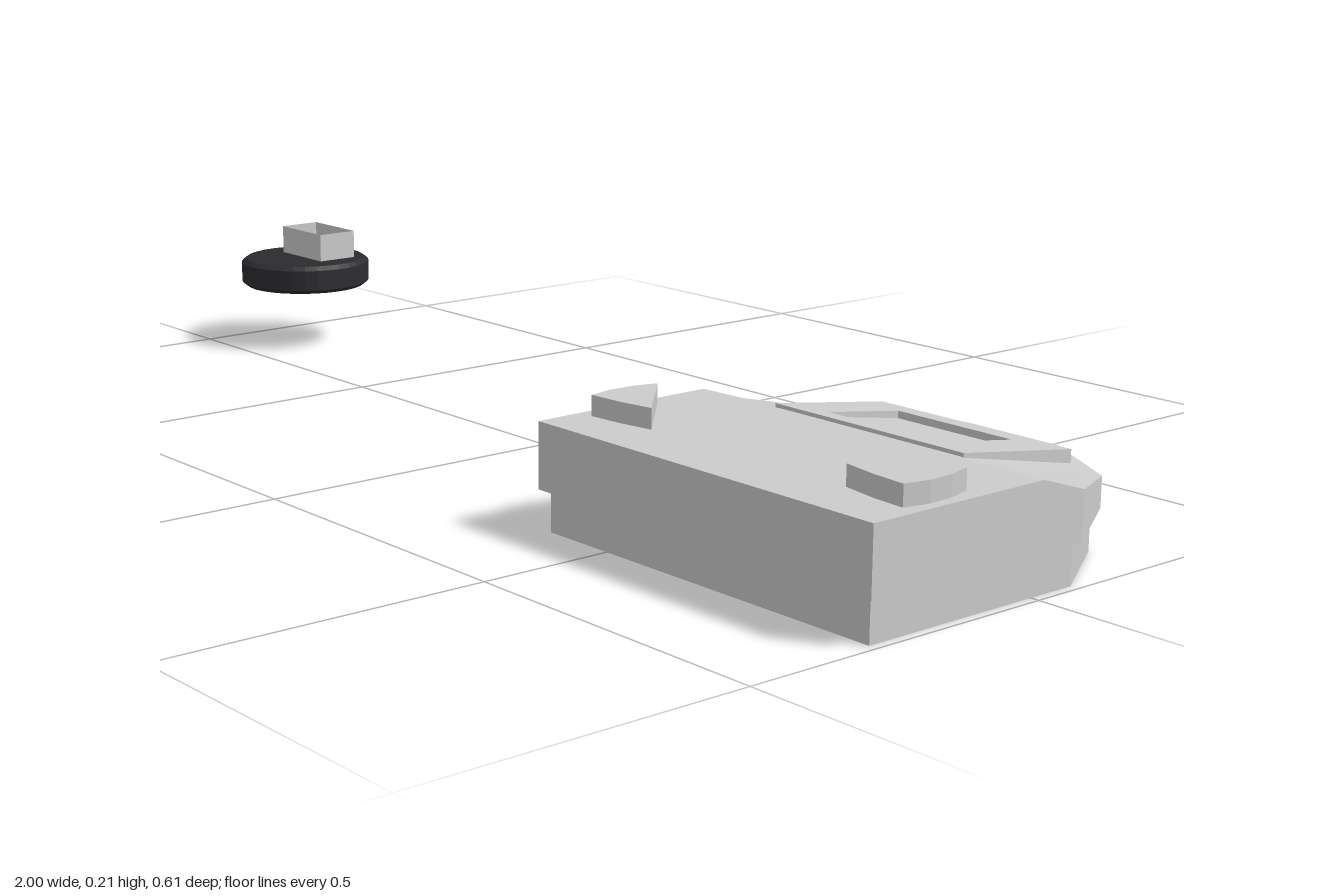
import * as THREE from 'three';

const grey = new THREE.MeshStandardMaterial({ color: 0xcccccc, flatShading: true });
const greyThin = new THREE.MeshStandardMaterial({ color: 0xcccccc, flatShading: true, side: THREE.DoubleSide });
const dark = new THREE.MeshStandardMaterial({ color: 0x2c2b2f, flatShading: true });

// Outline of the base as [x, z, top height], counterclockwise seen from above
const half = [[0.316, 0.305, 0.158], [0.316, 0, 0.158], [0.316, -0.08, 0.132], [0.228, -0.225, 0.106], [0.084, -0.305, 0.106]];
const mirrored = half.map(([x, z, y]) => [-x, z, y]).reverse();
const outline = [...half, ...mirrored];

function mesh(name, geometry, material, parent) {
  const m = new THREE.Mesh(geometry, material);
  m.name = name;
  parent.add(m);
  return m;
}

// Extrude a plan given as [x, z] points upward from y = 0
function slab(points, height, hole) {
  const toShape = (pts) => pts.map(([x, z]) => new THREE.Vector2(x, -z));
  const shape = new THREE.Shape(toShape(points));
  if (hole) shape.holes.push(new THREE.Path(toShape(hole)));
  return new THREE.ExtrudeGeometry(shape, { depth: height, bevelEnabled: false }).rotateX(-Math.PI / 2);
}

const rect = (x, z0, z1) => [[-x, z0], [x, z0], [x, z1], [-x, z1]];

// Upper body: flat front deck with a faceted slope falling to the back
function bodyGeometry() {
  const bottom = 0.061;
  const n = outline.length;
  const top = outline.map(([x, z, y]) => [x, y, z]);
  const low = outline.map(([x, z]) => [x, bottom, z]);
  const creaseL = [0.17, 0.158, 0], creaseR = [-0.17, 0.158, 0];
  const pos = [];
  const tri = (...corners) => corners.forEach((c) => pos.push(...c));
  for (let i = 0; i < n; i++) {
    const j = (i + 1) % n;
    tri(low[i], low[j], top[j]);
    tri(low[i], top[j], top[i]);
    if (i > 0 && j > 0) tri(low[0], low[j], low[i]);
  }
  // deck
  const deck = [top[9], top[0], top[1], creaseL, creaseR, top[8]];
  for (let i = 1; i < deck.length - 1; i++) tri(deck[0], deck[i], deck[i + 1]);
  // slope
  for (let i = 1; i < 5; i++) tri(creaseL, top[i], top[i + 1]);
  tri(creaseL, top[5], creaseR);
  for (let i = 5; i < 8; i++) tri(creaseR, top[i], top[i + 1]);
  const g = new THREE.BufferGeometry();
  g.setAttribute('position', new THREE.Float32BufferAttribute(pos, 3));
  g.computeVertexNormals();
  return g;
}

export function createModel() {
  const root = new THREE.Group();
  root.name = 'baseAndDisc';

  // Base unit
  const base = new THREE.Group();
  base.name = 'base';
  base.position.x = 0.684;
  root.add(base);
  mesh('plinth', slab(outline.map(([x, z]) => [x * 0.96, z * 0.96]), 0.061), grey, base);
  mesh('upperBody', bodyGeometry(), grey, base);

  // Raised frame lying on the slope
  const frame = slab(rect(0.175, -0.008, -0.224), 0.022, rect(0.105, -0.043, -0.183));
  const p = frame.attributes.position;
  for (let i = 0; i < p.count; i++) p.setY(i, p.getY(i) + 0.11 + (p.getZ(i) + 0.224) * 0.14);
  frame.computeVertexNormals();
  mesh('slopeFrame', frame, grey, base);

  // Wedge-shaped blocks near the front corners
  const wedge = [[0.288, 0.113], [0.245, 0.155], [0.21, 0.19], [0.183, 0.216], [0.24, 0.226], [0.292, 0.23], [0.3, 0.19], [0.298, 0.15]];
  for (const side of [1, -1]) {
    const pts = wedge.map(([x, z]) => [x * side, z]);
    const block = mesh(side > 0 ? 'leftCornerBlock' : 'rightCornerBlock', slab(pts, 0.03), grey, base);
    block.position.y = 0.158;
  }

  // Separate dark disc with an open rectangular collar
  const disc = new THREE.Group();
  disc.name = 'disc';
  disc.position.set(-0.883, 0, -0.14);
  root.add(disc);
  const profile = [[0, 0.108], [0.108, 0.108], [0.117, 0.115], [0.117, 0.151], [0.108, 0.158], [0, 0.158]];
  mesh('discBody', new THREE.LatheGeometry(profile.map(([r, y]) => new THREE.Vector2(r, y)), 32), dark, disc);

  const collar = new THREE.Group();
  collar.name = 'collar';
  collar.position.set(0, 0.1825, -0.03);
  disc.add(collar);
  const w = 0.125, d = 0.074, h = 0.049;
  for (const s of [1, -1]) {
    mesh('collarLongWall', new THREE.PlaneGeometry(w, h), greyThin, collar).position.z = s * d / 2;
    const end = mesh('collarEndWall', new THREE.PlaneGeometry(d, h), greyThin, collar);
    end.position.x = s * w / 2;
    end.rotation.y = s * Math.PI / 2;
  }
  return root;
}
